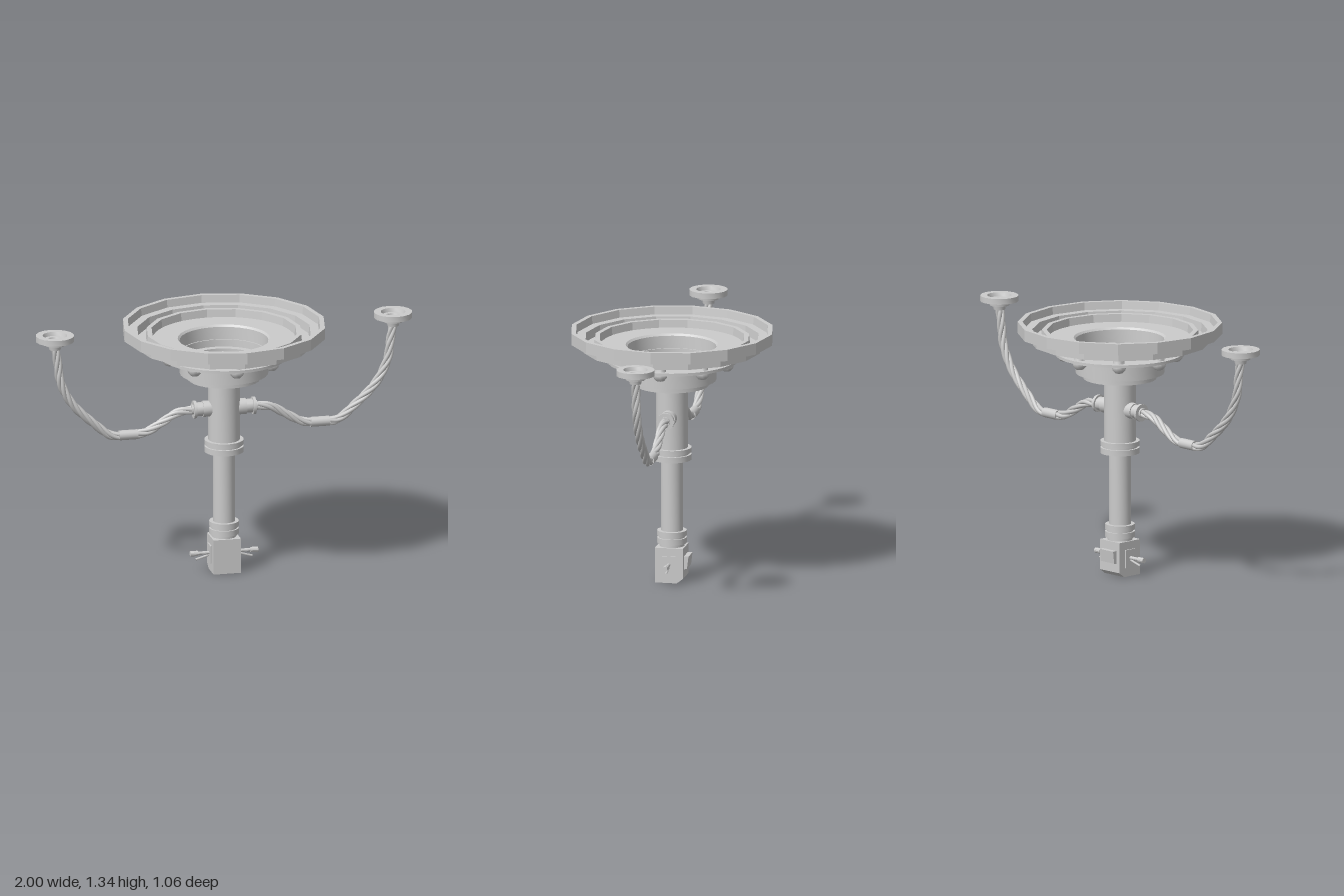
import * as THREE from 'three';
import { toCreasedNormals } from 'three/addons/utils/BufferGeometryUtils.js';

const material = new THREE.MeshStandardMaterial({ color: 0xcccccc });

function add(parent, name, geometry, x = 0, y = 0, z = 0) {
  const mesh = new THREE.Mesh(geometry, material);
  mesh.name = name;
  mesh.position.set(x, y, z);
  parent.add(mesh);
  return mesh;
}

// Turned part from [radius, height] pairs, running up the outside
function turned(profile, sides, crease = 0.6) {
  const points = profile.map(([r, y]) => new THREE.Vector2(r, y));
  return toCreasedNormals(new THREE.LatheGeometry(points, sides), crease);
}

// One strand winding around a flat centre line
class StrandCurve extends THREE.Curve {
  constructor(path, phase, offset, turns) {
    super();
    Object.assign(this, { path, phase, offset, turns });
  }
  getPoint(t, target = new THREE.Vector3()) {
    const p = this.path.getPointAt(t);
    const d = this.path.getTangentAt(t);
    const a = this.phase + t * this.turns * Math.PI * 2;
    const n = Math.cos(a) * this.offset;
    return target.set(p.x - d.y * n, p.y + d.x * n, p.z + Math.sin(a) * this.offset);
  }
}

function makeArm() {
  const arm = new THREE.Group();
  // Socket on the post
  const socket = add(arm, 'armSocket', turned([
    [0, 0], [0.042, 0], [0.042, 0.05], [0.036, 0.05], [0.036, 0.085],
    [0.046, 0.085], [0.046, 0.1], [0.026, 0.1], [0.026, 0.11], [0, 0.11],
  ], 20), 0.065, 0.88, 0);
  socket.rotation.z = -Math.PI / 2;

  // Twisted cable
  const path = new THREE.CatmullRomCurve3([
    [0.15, 0.88], [0.25, 0.868], [0.33, 0.822], [0.42, 0.775], [0.51, 0.768], [0.6, 0.772],
    [0.69, 0.84], [0.81, 0.96], [0.87, 1.08], [0.885, 1.18], [0.9, 1.28],
  ].map(([x, y]) => new THREE.Vector3(x, y, 0)));
  for (let i = 0; i < 4; i++) {
    const strand = new StrandCurve(path, i * Math.PI / 2, 0.0125, 3.5);
    add(arm, 'cableStrand', new THREE.TubeGeometry(strand, 90, 0.0115, 8));
  }
  const sleeve = add(arm, 'cableSleeve', new THREE.CylinderGeometry(0.026, 0.026, 0.1, 16), 0.51, 0.768, 0);
  sleeve.rotation.z = Math.PI / 2;

  // Cup at the tip
  add(arm, 'tipCup', turned([
    [0, 1.26], [0.03, 1.26], [0.034, 1.28], [0.052, 1.283], [0.055, 1.305], [0.1, 1.305],
    [0.1, 1.335], [0.064, 1.335], [0.058, 1.315], [0.038, 1.315], [0.032, 1.295], [0, 1.295],
  ], 16), 0.9, 0, 0);

  // Lever on the base block
  add(arm, 'leverPlate', new THREE.BoxGeometry(0.008, 0.095, 0.07), 0.076, 0.095, 0);
  const lever = add(arm, 'lever', turned([
    [0, 0], [0.009, 0], [0.009, 0.065], [0.014, 0.065], [0.014, 0.105], [0, 0.105],
  ], 10), 0.075, 0.098, 0);
  lever.rotation.z = -Math.PI / 2;
  const trigger = new THREE.CatmullRomCurve3([
    new THREE.Vector3(0.075, 0.088, 0), new THREE.Vector3(0.11, 0.077, 0), new THREE.Vector3(0.15, 0.066, 0),
  ]);
  add(arm, 'trigger', new THREE.TubeGeometry(trigger, 8, 0.006, 6));
  return arm;
}

export function createModel() {
  const model = new THREE.Group();
  model.name = 'pedestalDish';

  // Base block with a chamfered lower back edge
  const side = new THREE.Shape([
    [-0.075, 0], [0.04, 0], [0.073, 0.025], [0.073, 0.185], [-0.075, 0.185],
  ].map(([x, y]) => new THREE.Vector2(x, y)));
  const block = new THREE.ExtrudeGeometry(side, { depth: 0.146, bevelEnabled: false });
  add(model, 'baseBlock', block.translate(0, 0, -0.073).rotateY(Math.PI / 2));
  const latch = new THREE.Shape([
    [0.07, 0.07], [0.09, 0.075], [0.098, 0.14], [0.07, 0.14],
  ].map(([x, y]) => new THREE.Vector2(x, y)));
  const latchGeometry = new THREE.ExtrudeGeometry(latch, { depth: 0.1, bevelEnabled: false });
  add(model, 'backLatch', latchGeometry.translate(0, 0, -0.05).rotateY(Math.PI / 2));

  // Post with its collars
  add(model, 'post', turned([
    [0, 0.18], [0.065, 0.18], [0.065, 0.2], [0.077, 0.2], [0.077, 0.23], [0.068, 0.23], [0.068, 0.24],
    [0.077, 0.24], [0.077, 0.268], [0.057, 0.268], [0.057, 0.645], [0.102, 0.645], [0.102, 0.675],
    [0.09, 0.675], [0.09, 0.685], [0.102, 0.685], [0.102, 0.71], [0.082, 0.71], [0.082, 1.045], [0, 1.045],
  ], 28));

  // Hollow drum and the dish floor around it
  add(model, 'drum', turned([
    [0, 1.04], [0.19, 1.04], [0.19, 1.07], [0.23, 1.07], [0.23, 1.235], [0.37, 1.235],
    [0.37, 1.255], [0.24, 1.255], [0.23, 1.245], [0.225, 1.14], [0.19, 1.14], [0.19, 1.125],
    [0.082, 1.125], [0.082, 1.12], [0, 1.12],
  ], 32));

  // Stepped sixteen-sided dish
  add(model, 'dish', turned([
    [0.22, 1.23], [0.465, 1.23], [0.465, 1.275], [0.53, 1.275], [0.53, 1.335], [0.505, 1.335],
    [0.5, 1.295], [0.455, 1.295], [0.45, 1.25], [0.41, 1.25], [0.405, 1.295], [0.38, 1.295],
    [0.375, 1.25], [0.3, 1.25],
  ], 16, 0.2));

  // Lamp ring under the dish
  add(model, 'lampPlate', turned([
    [0.22, 1.165], [0.335, 1.165], [0.335, 1.18], [0.22, 1.18],
  ], 32));
  const lamp = turned([
    [0, 1.125], [0.02, 1.13], [0.034, 1.145], [0.038, 1.165], [0.03, 1.18], [0.03, 1.235],
  ], 14, 1);
  for (let i = 0; i < 8; i++) {
    const a = i * Math.PI / 4;
    add(model, 'lamp', lamp, Math.sin(a) * 0.29, 0, Math.cos(a) * 0.29);
  }

  // Matching arms on both sides
  const leftArm = makeArm();
  leftArm.name = 'leftArm';
  const rightArm = makeArm();
  rightArm.name = 'rightArm';
  rightArm.rotation.y = Math.PI;
  model.add(leftArm, rightArm);
  return model;
}
